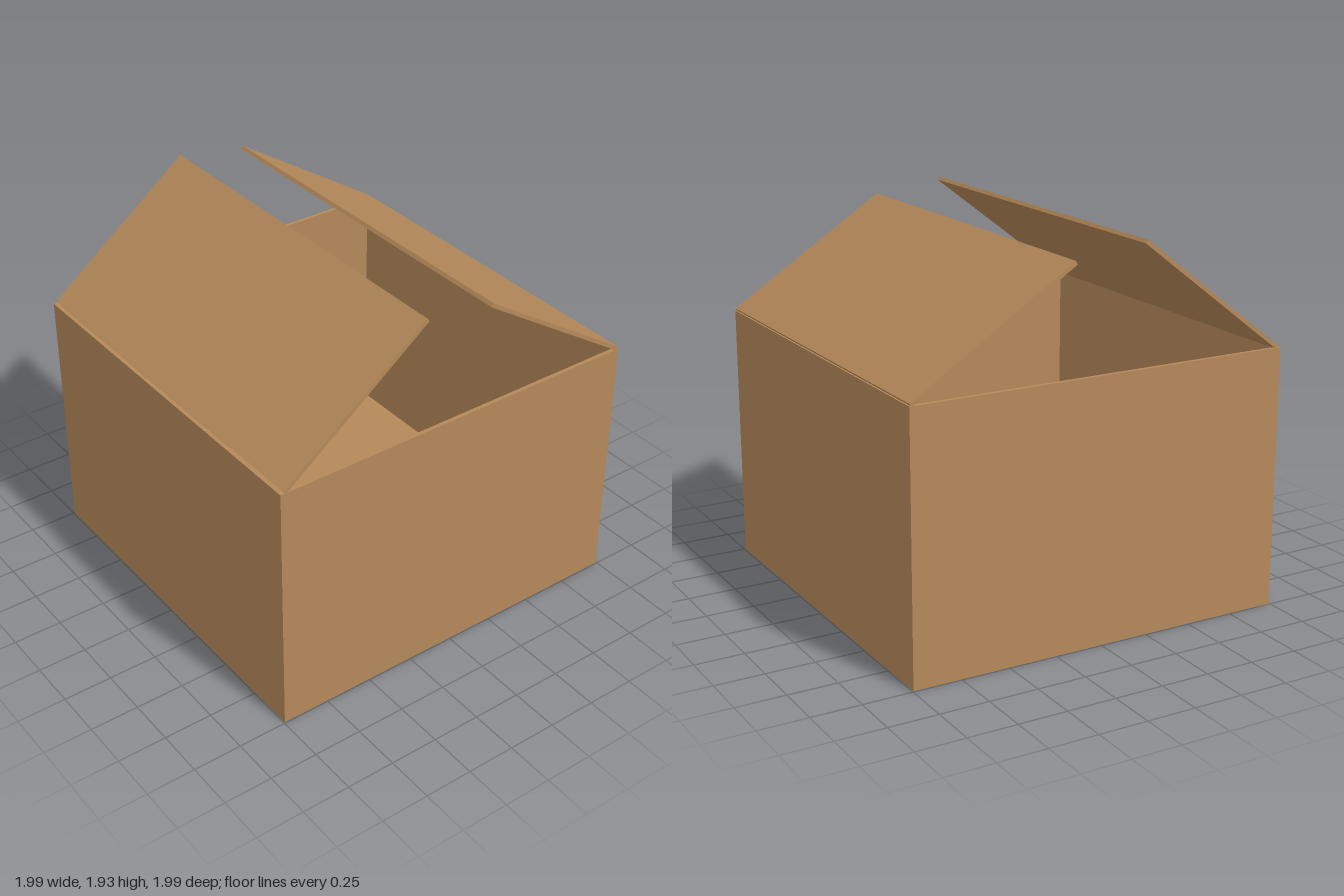
import * as THREE from 'three';

export function createModel() {
  const model = new THREE.Group();
  model.name = 'cardboardBox';
  const cardboard = new THREE.MeshStandardMaterial({ color: 0xb48859 });
  cardboard.name = 'cardboard';

  const W = 1.99, H = 1.325, T = 0.02; // width and depth, height, board thickness

  function board(name, size, pos, tilt = 0) {
    const mesh = new THREE.Mesh(new THREE.BoxGeometry(...size), cardboard);
    mesh.name = name;
    mesh.position.set(...pos);
    mesh.rotation.x = tilt;
    model.add(mesh);
  }

  // Floor and the four walls
  const inner = W - 2 * T, edge = W / 2 - T / 2;
  board('floor', [inner, T, inner], [0, T / 2, 0]);
  board('frontWall', [W, H, T], [0, H / 2, edge]);
  board('backWall', [W, H, T], [0, H / 2, -edge]);
  board('leftWall', [T, H, inner], [edge, H / 2, 0]);
  board('rightWall', [T, H, inner], [-edge, H / 2, 0]);

  // Half-open flaps, each running from its hinge to its tip as [z, y]
  function flap(name, [z0, y0], [z1, y1]) {
    const length = Math.hypot(z1 - z0, y1 - y0);
    const tilt = Math.atan2(y0 - y1, z0 - z1);
    // keep the tilt within a quarter turn
    const turn = Math.abs(tilt) > Math.PI / 2 ? tilt - Math.sign(tilt) * Math.PI : tilt;
    board(name, [W, T, length], [0, (y0 + y1) / 2, (z0 + z1) / 2], -turn);
  }
  flap('frontFlap', [0.973, 1.328], [0.205, 1.918]);
  flap('backFlap', [-0.988, 1.328], [-0.163, 1.86]);

  return model;
}
